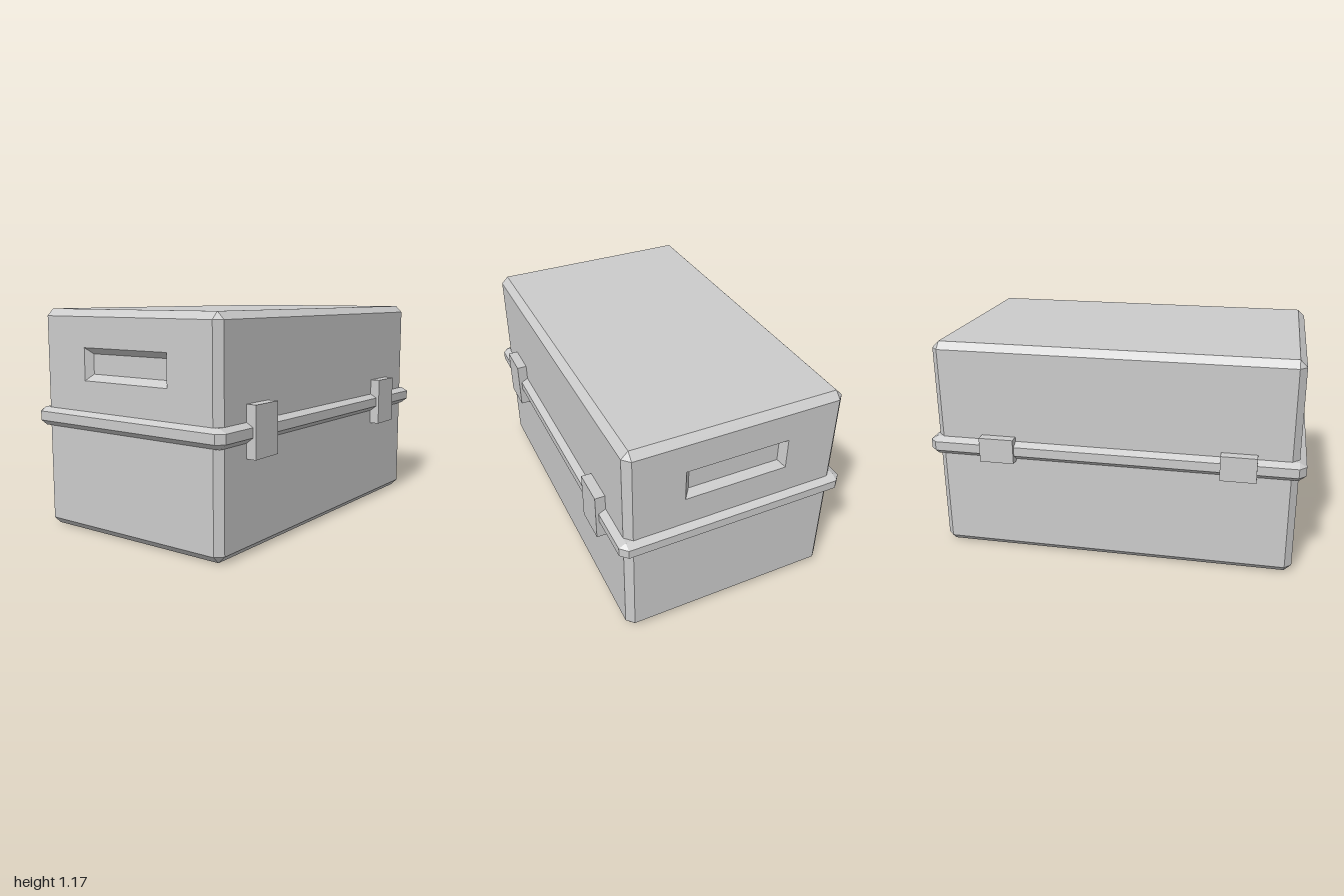
import * as THREE from 'three';

const CUT = 0.037;
const material = new THREE.MeshStandardMaterial({ color: 0xcccccc, flatShading: true });

// Flat-faced geometry from a list of quads (corners counter-clockwise from outside)
function quadGeometry(quads) {
  const positions = [];
  for (const [a, b, c, d] of quads) positions.push(...a, ...b, ...c, ...a, ...c, ...d);
  const geometry = new THREE.BufferGeometry();
  geometry.setAttribute('position', new THREE.Float32BufferAttribute(positions, 3));
  geometry.computeVertexNormals();
  return geometry;
}

function addMesh(parent, name, geometry) {
  const mesh = new THREE.Mesh(geometry, material);
  mesh.name = name;
  parent.add(mesh);
  return mesh;
}

// Eight-cornered outline; an inset equal to CUT closes it to a plain rectangle
function outline(hx, hz, inset, y) {
  const X = hx - inset, Z = hz - inset, x = hx - CUT, z = hz - CUT;
  return [[X, z], [X, -z], [x, -Z], [-x, -Z], [-X, -z], [-X, z], [-x, Z], [x, Z]]
    .map(([px, pz]) => [px, y, pz]);
}

// Box with chamfered edges, optionally left open on the two ends
function chamferBlock(hx, hz, ys, openEnds = false) {
  const rings = ys.map((y, i) => outline(hx, hz, i === 0 || i === 3 ? CUT : 0, y));
  const quads = [];
  for (let i = 0; i < 3; i++) {
    for (let k = 0; k < 8; k++) {
      if (openEnds && i === 1 && k % 4 === 0) continue;
      const n = (k + 1) % 8;
      quads.push([rings[i][k], rings[i][n], rings[i + 1][n], rings[i + 1][k]]);
    }
  }
  const [b, t] = [rings[0], rings[3]];
  quads.push([t[0], t[1], t[4], t[5]], [b[5], b[4], b[1], b[0]]);
  return quadGeometry(quads);
}

function rectangle(hw, y0, y1, z = 0) {
  return [[-hw, y0, z], [hw, y0, z], [hw, y1, z], [-hw, y1, z]];
}

export function createModel() {
  const model = new THREE.Group();
  model.name = 'storageCase';
  const hx = 0.964, hz = 0.588, height = 1.166;

  // Main shell and the rim band around the lid seam
  addMesh(model, 'body', chamferBlock(hx, hz, [0, CUT, height - CUT, height], true));
  addMesh(model, 'rimBand', chamferBlock(1, 0.626, [0.546, 0.575, 0.624, 0.645]));

  // End panels with sunken, bevelled hand grips
  const toPath = (corners) => corners.map(([x, y]) => new THREE.Vector2(x, y));
  const outer = rectangle(0.278, 0.803, 0.972);
  const inner = rectangle(0.247, 0.836, 0.94, -0.035);
  const panel = new THREE.Shape(toPath(rectangle(hz - CUT, CUT, height - CUT)));
  panel.holes.push(new THREE.Path(toPath(outer)));
  const panelGeometry = new THREE.ShapeGeometry(panel);
  const gripQuads = outer.map((o, k) => [o, outer[(k + 1) % 4], inner[(k + 1) % 4], inner[k]]);
  const gripGeometry = quadGeometry([...gripQuads, inner]);
  for (const side of [1, -1]) {
    const end = new THREE.Group();
    end.name = side > 0 ? 'leftEnd' : 'rightEnd';
    addMesh(end, 'endPanel', panelGeometry);
    addMesh(end, 'gripRecess', gripGeometry);
    end.position.x = side * hx;
    end.rotation.y = side * Math.PI / 2;
    model.add(end);
  }

  // Tall latches in front, short hinges behind
  for (const [x, side] of [[0.615, 'left'], [-0.663, 'right']]) {
    const latch = addMesh(model, side + 'Latch', new THREE.BoxGeometry(0.186, 0.262, 0.062));
    latch.position.set(x, 0.601, 0.611);
    const hinge = addMesh(model, side + 'Hinge', new THREE.BoxGeometry(0.186, 0.134, 0.06));
    hinge.position.set(x, 0.602, -0.61);
  }
  return model;
}
